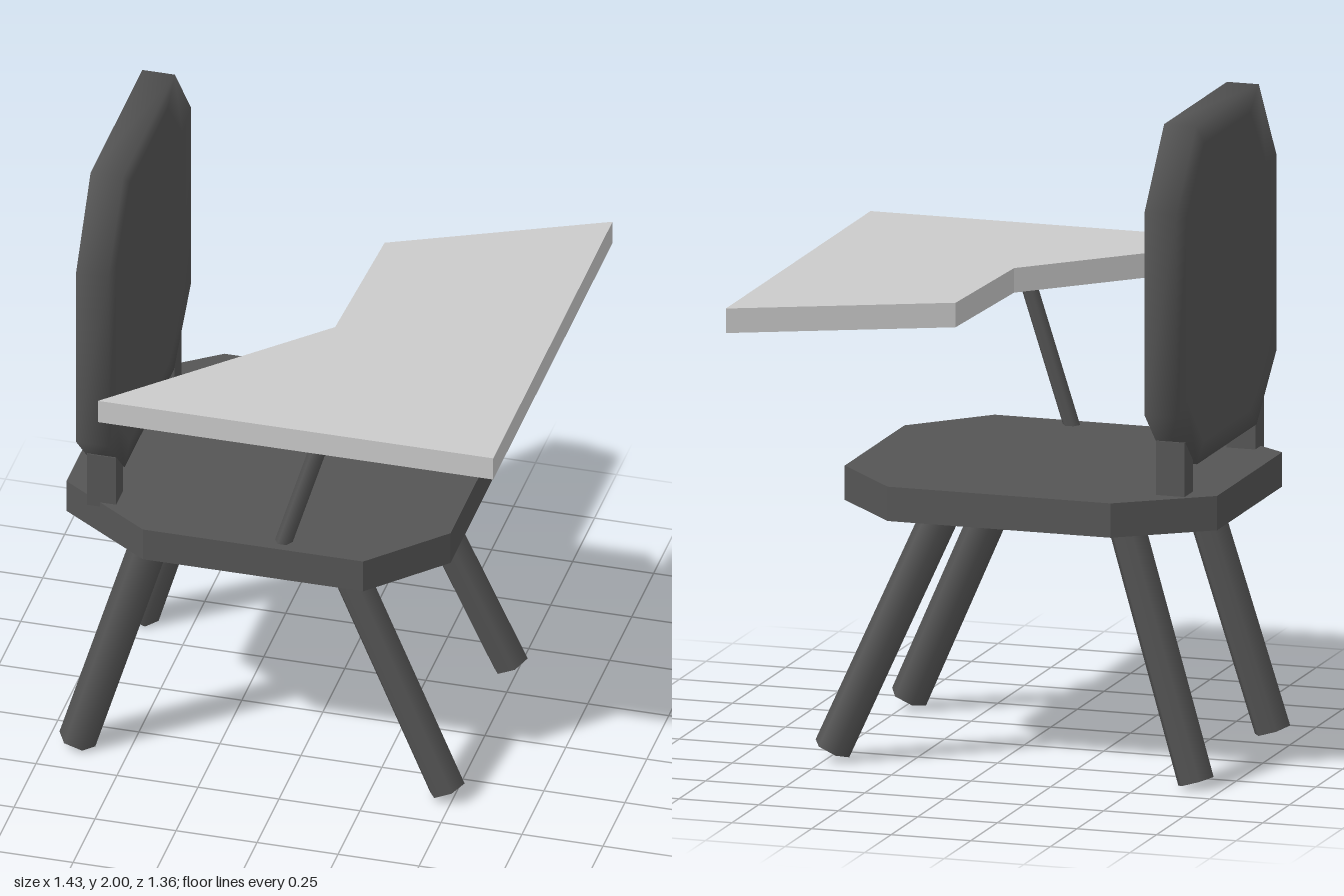
import * as THREE from 'three';

const dark = new THREE.MeshStandardMaterial({ color: 0x555555 });
const grey = new THREE.MeshStandardMaterial({ color: 0xcccccc });

function mesh(name, geometry, material = dark) {
  const m = new THREE.Mesh(geometry, material);
  m.name = name;
  return m;
}

// Horizontal slab from an [x, z] outline between two heights
function slab(name, outline, y0, y1, material) {
  const shape = new THREE.Shape(outline.map(([x, z]) => new THREE.Vector2(x, -z)));
  const g = new THREE.ExtrudeGeometry(shape, { depth: y1 - y0, bevelEnabled: false });
  g.rotateX(-Math.PI / 2).translate(0, y0, 0);
  return mesh(name, g, material);
}

// Six-sided rod between two points
function rod(name, from, to, radius) {
  const a = new THREE.Vector3(...from), b = new THREE.Vector3(...to);
  const dir = b.clone().sub(a);
  const g = new THREE.CylinderGeometry(radius, radius, dir.length(), 6);
  g.rotateY(Math.PI / 2);
  const m = mesh(name, g);
  m.quaternion.setFromUnitVectors(new THREE.Vector3(0, 1, 0), dir.normalize());
  m.position.copy(a).add(b).multiplyScalar(0.5);
  return m;
}

// Octagonal backrest: softly shaded rim with a flat panel on each side
function createBackrest() {
  const outer = [[0.32, 2], [-0.27, 2], [-0.455, 1.77], [-0.455, 1.15],
    [-0.26, 0.965], [0.3, 0.965], [0.485, 1.15], [0.485, 1.75]];
  const inner = [[0.24, 1.93], [-0.19, 1.93], [-0.355, 1.74], [-0.355, 1.18],
    [-0.2, 1.02], [0.24, 1.02], [0.39, 1.17], [0.39, 1.74]];
  const front = -0.53, back = -0.63, n = outer.length;
  const rings = [[front, inner], [front, outer], [back, outer], [back, inner]];
  const pos = rings.flatMap(([x, ring]) => ring.flatMap(([z, y]) => [x, y, z]));
  const index = [];
  for (let k = 0; k < 3; k++) {
    for (let i = 0; i < n; i++) {
      const a = k * n + i, c = k * n + (i + 1) % n, b = a + n, d = c + n;
      index.push(a, c, b, c, d, b);
    }
  }
  const rim = new THREE.BufferGeometry();
  rim.setAttribute('position', new THREE.Float32BufferAttribute(pos, 3));
  rim.setIndex(index);
  rim.computeVertexNormals();

  const group = new THREE.Group();
  group.name = 'backrest';
  group.add(mesh('backrestRim', rim));
  for (const [name, side, x] of [['frontPanel', 1, front], ['rearPanel', -1, back]]) {
    const shape = new THREE.Shape(inner.map(([z, y]) => new THREE.Vector2(-side * z, y)));
    const g = new THREE.ShapeGeometry(shape);
    g.rotateY(side * Math.PI / 2).translate(x, 0, 0);
    group.add(mesh(name, g));
  }
  return group;
}

export function createModel() {
  const model = new THREE.Group();
  model.name = 'deskChair';

  // Seat with cut corners
  model.add(slab('seat', [[-0.71, -0.31], [-0.44, -0.505], [0.26, -0.505], [0.47, -0.28],
    [0.47, 0.28], [0.26, 0.5], [-0.42, 0.5], [-0.71, 0.3]], 0.78, 0.885, dark));

  // Splayed legs
  for (const s of [-1, 1]) {
    const side = s > 0 ? 'Left' : 'Right';
    model.add(rod('back' + side + 'Leg', [-0.66, 0.02, s * 0.36], [-0.424, 0.8, s * 0.325], 0.058));
    model.add(rod('front' + side + 'Leg', [0.482, 0.037, s * 0.36], [0.14, 0.8, s * 0.325], 0.058));
  }

  // Backrest on two short posts
  model.add(createBackrest());
  for (const z of [0.348, -0.315]) {
    const post = mesh('backrestPost', new THREE.BoxGeometry(0.09, 0.18, 0.08));
    post.position.set(-0.578, 0.96, z);
    model.add(post);
  }

  // Writing desk on a slanted support
  model.add(rod('deskSupport', [-0.003, 0.87, 0.45], [0.15, 1.37, 0.432], 0.026));
  model.add(slab('deskTop', [[0.71, -0.68], [0.71, 0.68], [-0.51, 0.68],
    [0.065, 0.1], [0.085, -0.39]], 1.36, 1.435, grey));

  return model;
}
